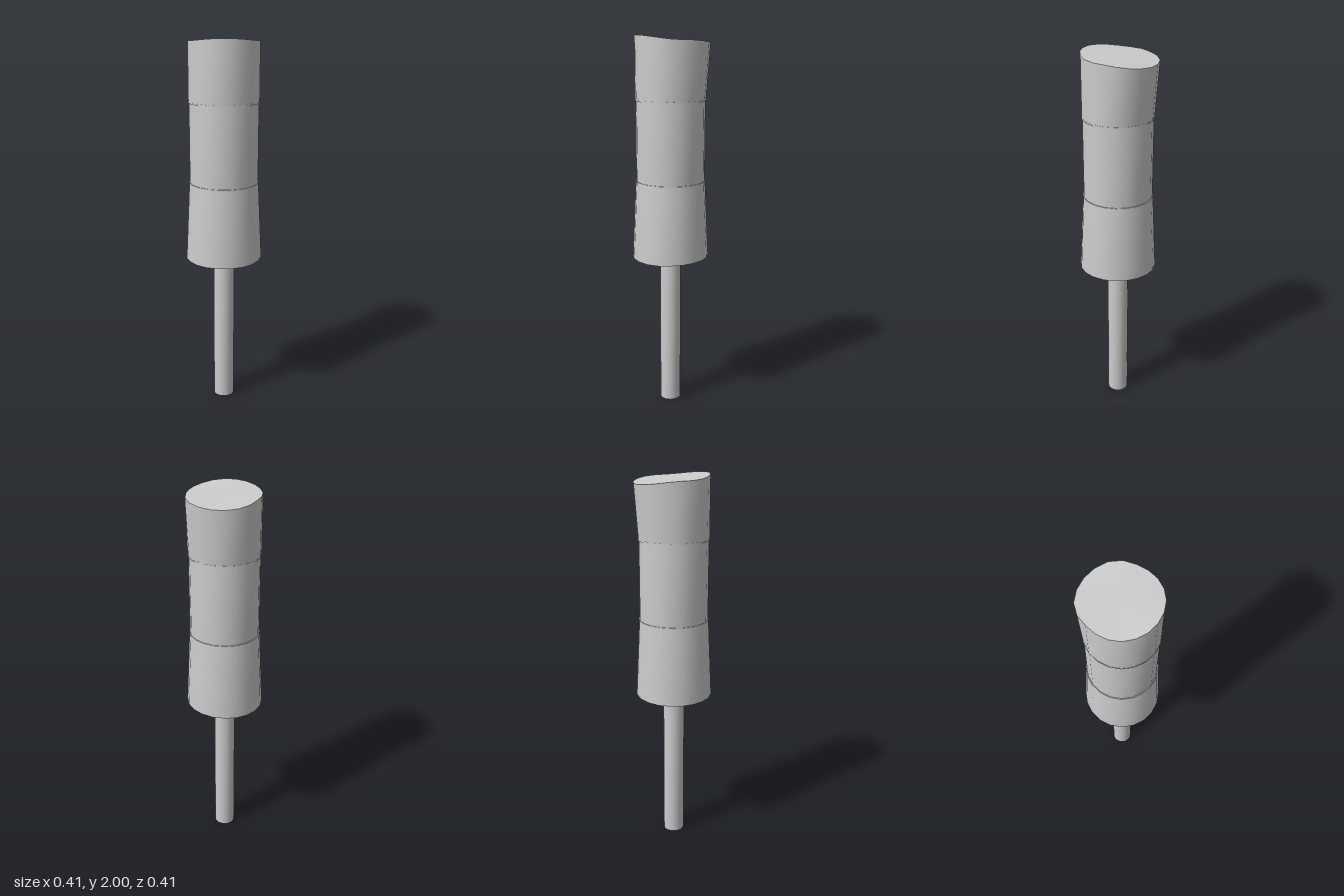
import * as THREE from 'three';
import { toCreasedNormals } from 'three/addons/utils/BufferGeometryUtils.js';

const SIDES = 20;
const grey = new THREE.MeshStandardMaterial({ color: 0xcccccc });

// Capped round section between two heights, optionally reshaped by a vertex rule
function section(name, rTop, rBottom, y0, y1, reshape) {
  const geo = new THREE.CylinderGeometry(rTop, rBottom, y1 - y0, SIDES);
  geo.translate(0, (y0 + y1) / 2, 0);
  if (reshape) {
    const pos = geo.attributes.position;
    const v = new THREE.Vector3();
    for (let i = 0; i < pos.count; i++) {
      v.fromBufferAttribute(pos, i);
      reshape(v);
      pos.setXYZ(i, v.x, v.y, v.z);
    }
  }
  const mesh = new THREE.Mesh(toCreasedNormals(geo, 0.6), grey);
  mesh.name = name;
  return mesh;
}

export function createModel() {
  const group = new THREE.Group();
  group.name = 'handle';

  // Slim rod
  group.add(section('rod', 0.056, 0.056, 0, 0.85));

  // Flared lower grip, its underside lifted slightly at one back corner
  group.add(section('lowerGrip', 0.183, 0.203, 0.836, 1.25, (v) => {
    const r = Math.hypot(v.x, v.z);
    if (v.y < 1 && r > 0.01) v.y += 0.008 * Math.max(0, (v.x - v.z) / (r * Math.SQRT2));
  }));

  // Straight middle grip
  group.add(section('middleGrip', 0.18, 0.18, 1.25, 1.68));

  // Thin seams between the sections
  group.add(section('lowerSeam', 0.184, 0.184, 1.247, 1.255));
  group.add(section('upperSeam', 0.184, 0.184, 1.672, 1.68));

  // Upper grip: wavy slanted rim, high in front, low and pushed out at the back
  group.add(section('upperGrip', 0.183, 0.183, 1.68, 1.978, (v) => {
    const r = Math.hypot(v.x, v.z);
    if (v.y < 1.8 || r < 0.01) return;
    const angle = Math.atan2(v.x, v.z);
    const s = Math.cos(angle - 0.15);
    v.y += (s > 0 ? 0.022 : 0.024) * s * Math.abs(s);
    const grow = 1 + 0.11 * THREE.MathUtils.smoothstep(-Math.cos(angle), 0.2, 0.85);
    v.x *= grow;
    v.z *= grow;
  }));

  return group;
}
